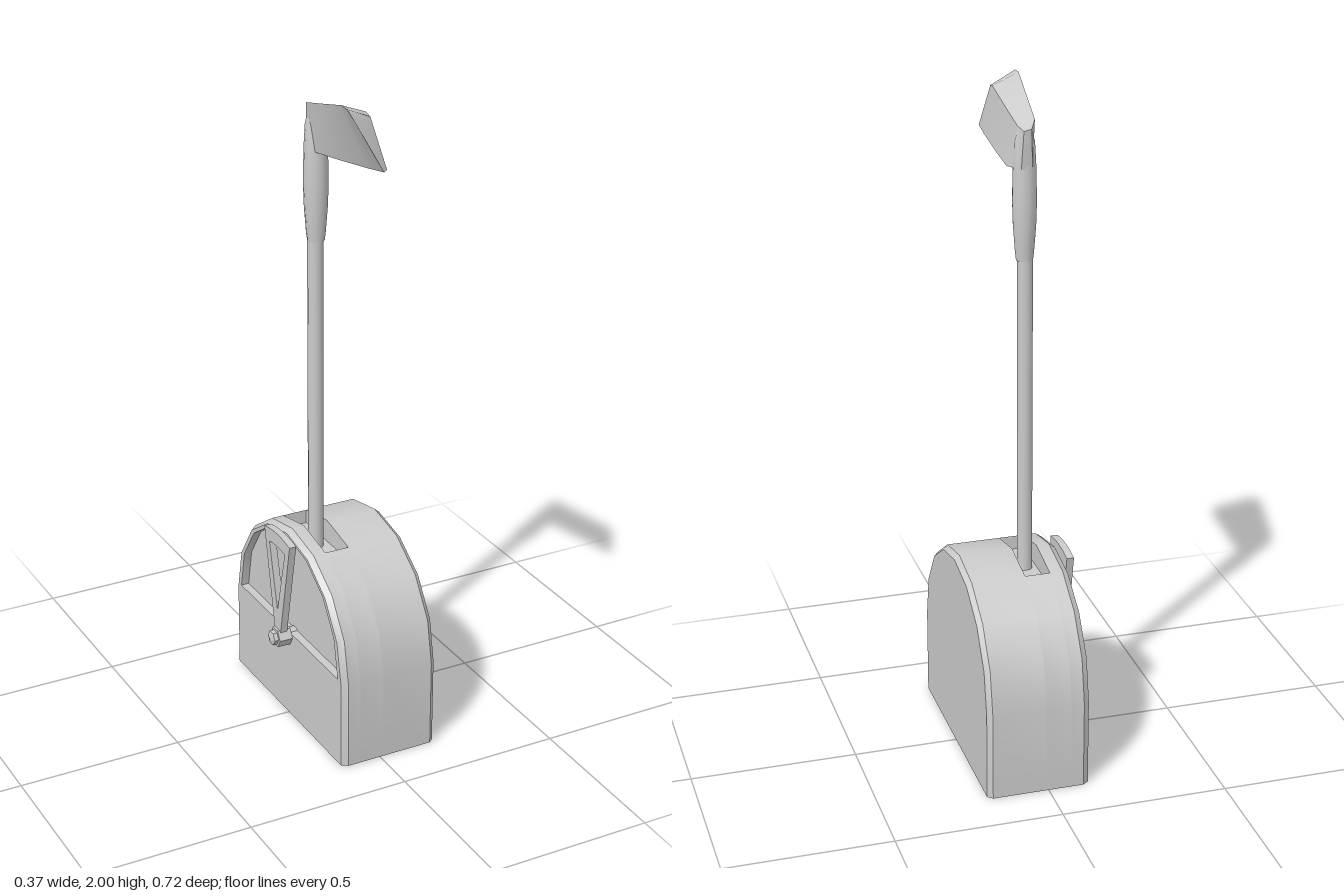
import * as THREE from 'three';
import { toCreasedNormals } from 'three/addons/utils/BufferGeometryUtils.js';

const grey = new THREE.MeshStandardMaterial({ color: 0xcccccc });
const thin = new THREE.MeshStandardMaterial({ color: 0xcccccc, side: THREE.DoubleSide });
const ZC = -0.005, ARCH_Y = 0.27;

function add(parent, name, geo, mat = grey) {
  const mesh = new THREE.Mesh(geo, mat);
  mesh.name = name;
  parent.add(mesh);
  return mesh;
}

// Skin a list of equally long point rows [x, y, z]
function skin(rows, closed = false) {
  const pos = [];
  for (let r = 0; r + 1 < rows.length; r++) {
    const a = rows[r], b = rows[r + 1], n = a.length;
    for (let i = 0; i < (closed ? n : n - 1); i++) {
      const j = (i + 1) % n;
      pos.push(...a[i], ...b[i], ...b[j], ...a[i], ...b[j], ...a[j]);
    }
  }
  const geo = new THREE.BufferGeometry();
  geo.setAttribute('position', new THREE.Float32BufferAttribute(pos, 3));
  return toCreasedNormals(geo, 0.6);
}

// Half circle of [z, y] points, from +z over the top to -z
function arc(radius, y) {
  return Array.from({ length: 9 }, (_, i) => {
    const t = (i * Math.PI) / 8;
    return [ZC + radius * Math.cos(t), y + radius * Math.sin(t)];
  });
}
const arch = (r) => [[ZC + r, 0], ...arc(r, ARCH_Y), [ZC - r, 0]];
const at = (pts, x) => pts.map(([z, y]) => [x, y, z]);
const shapeOf = (pts) => new THREE.Shape(pts.map(([z, y]) => new THREE.Vector2(z, y)));
const flat = (shape, x) => new THREE.ShapeGeometry(shape).rotateY(-Math.PI / 2).translate(x, 0, 0);

function createHousing() {
  const g = new THREE.Group();
  g.name = 'housing';
  const outer = arch(0.355), inner = arch(0.342);
  const L = -0.125, l = -0.107, r = 0.17, R = 0.185, s0 = -0.068, s1 = 0.008;

  // Open-bottomed shell with a slot across its two top facets
  add(g, 'shellLeft', skin([at(inner, R), at(outer, r), at(outer, s1)]), thin);
  add(g, 'shellRight', skin([at(outer, s0), at(outer, l), at(inner, L)]), thin);
  for (const part of [outer.slice(0, 5), outer.slice(6)])
    add(g, 'shellMiddle', skin([at(part, s1), at(part, s0)]), thin);
  add(g, 'sidePanel', flat(shapeOf(inner), R), thin);

  // Slot walls and floor
  const floor = 0.555, z0 = outer[6][0], z1 = outer[4][0], yTop = outer[4][1];
  for (const x of [s0, s1])
    add(g, 'slotSide', flat(shapeOf([[z0, floor], [z1, floor], ...outer.slice(4, 7)]), x), thin);
  add(g, 'slotFloor', skin([s1, s0].map((x) =>
    at([[z1, yTop], [z1, floor], [z0, floor], [z0, yTop]], x))), thin);

  // Dial side with a half-round recess
  const dial = arc(0.32, 0.283);
  const panel = shapeOf(inner);
  panel.holes.push(shapeOf(dial));
  add(g, 'dialPanel', flat(panel, L), thin);
  add(g, 'dialWall', skin([at(dial, L), at(dial, -0.1)], true), thin);
  add(g, 'dialFace', flat(shapeOf(dial), -0.1), thin);
  return g;
}

function createPointer() {
  const g = new THREE.Group();
  g.name = 'pointer';
  // Fan-shaped frame
  const ring = (r, half) => Array.from({ length: 7 }, (_, i) => {
    const t = half * (1 - i / 3);
    return new THREE.Vector2(r * Math.sin(t), r * Math.cos(t));
  });
  const fan = new THREE.Shape([new THREE.Vector2(-0.015, 0), new THREE.Vector2(0.015, 0), ...ring(0.348, 0.24)]);
  fan.holes.push(new THREE.Path([new THREE.Vector2(0, 0.09), ...ring(0.305, 0.165)]));
  const geo = new THREE.ExtrudeGeometry(fan, { depth: 0.022, bevelEnabled: false }).rotateY(-Math.PI / 2);
  add(g, 'fan', geo).position.x = -0.137;

  // Hexagonal pivot bolt
  const profile = [[0.032, 0], [0.032, 0.042], [0.023, 0.042], [0.023, 0.055], [0, 0.062]]
    .map(([x, y]) => new THREE.Vector2(x, y));
  const bolt = toCreasedNormals(new THREE.LatheGeometry(profile, 6).rotateZ(Math.PI / 2), 0.4);
  add(g, 'pivotBolt', bolt).position.x = -0.125;
  add(g, 'pivotPin', new THREE.CylinderGeometry(0.02, 0.02, 0.03, 6).rotateZ(Math.PI / 2)).position.x = -0.112;
  g.position.set(0, 0.272, ZC);
  return g;
}

function createLever() {
  const g = new THREE.Group();
  g.name = 'lever';
  // Shaft and the thicker sleeve below the head
  add(g, 'shaft', new THREE.CylinderGeometry(0.023, 0.023, 0.99, 12)).position.set(-0.033, 1.05, 0.002);
  const sleeve = [[0, 1.525], [0.025, 1.525], [0.028, 1.55], [0.034, 1.63], [0.036, 1.7], [0.034, 1.8], [0.03, 1.87], [0.02, 1.905], [0, 1.915]]
    .map(([x, y]) => new THREE.Vector2(x, y));
  add(g, 'sleeve', toCreasedNormals(new THREE.LatheGeometry(sleeve, 12), 0.6)).position.set(-0.031, 0, 0.002);

  // Blade sections, heel to toe: back top, front top, front bottom, back bottom
  const rows = [
    [[-0.04, 1.915, -0.036], [-0.018, 1.91, -0.036], [-0.012, 1.8, -0.03], [-0.045, 1.8, -0.03]],
    [[-0.06, 1.932, 0], [-0.012, 1.915, 0.01], [0.013, 1.795, 0.03], [-0.048, 1.795, 0.03]],
    [[-0.074, 1.963, 0.12], [-0.01, 1.94, 0.12], [0.012, 1.805, 0.14], [-0.036, 1.805, 0.14]],
    [[-0.09, 2, 0.26], [-0.009, 1.968, 0.25], [0.008, 1.82, 0.28], [-0.02, 1.82, 0.28]],
    [[-0.09, 1.998, 0.295], [-0.011, 1.962, 0.278], [0.006, 1.83, 0.342], [-0.011, 1.83, 0.357]],
    [[-0.083, 1.97, 0.325], [-0.011, 1.955, 0.283], [0.006, 1.83, 0.342], [-0.011, 1.83, 0.357]],
  ];
  const point = (p) => Array(4).fill(p);
  add(g, 'blade', skin([point([-0.03, 1.86, -0.036]), ...rows, point([-0.025, 1.9, 0.32])], true), thin);
  return g;
}

export function createModel() {
  const model = new THREE.Group();
  model.name = 'leverBox';
  model.add(createHousing(), createPointer(), createLever());
  return model;
}
